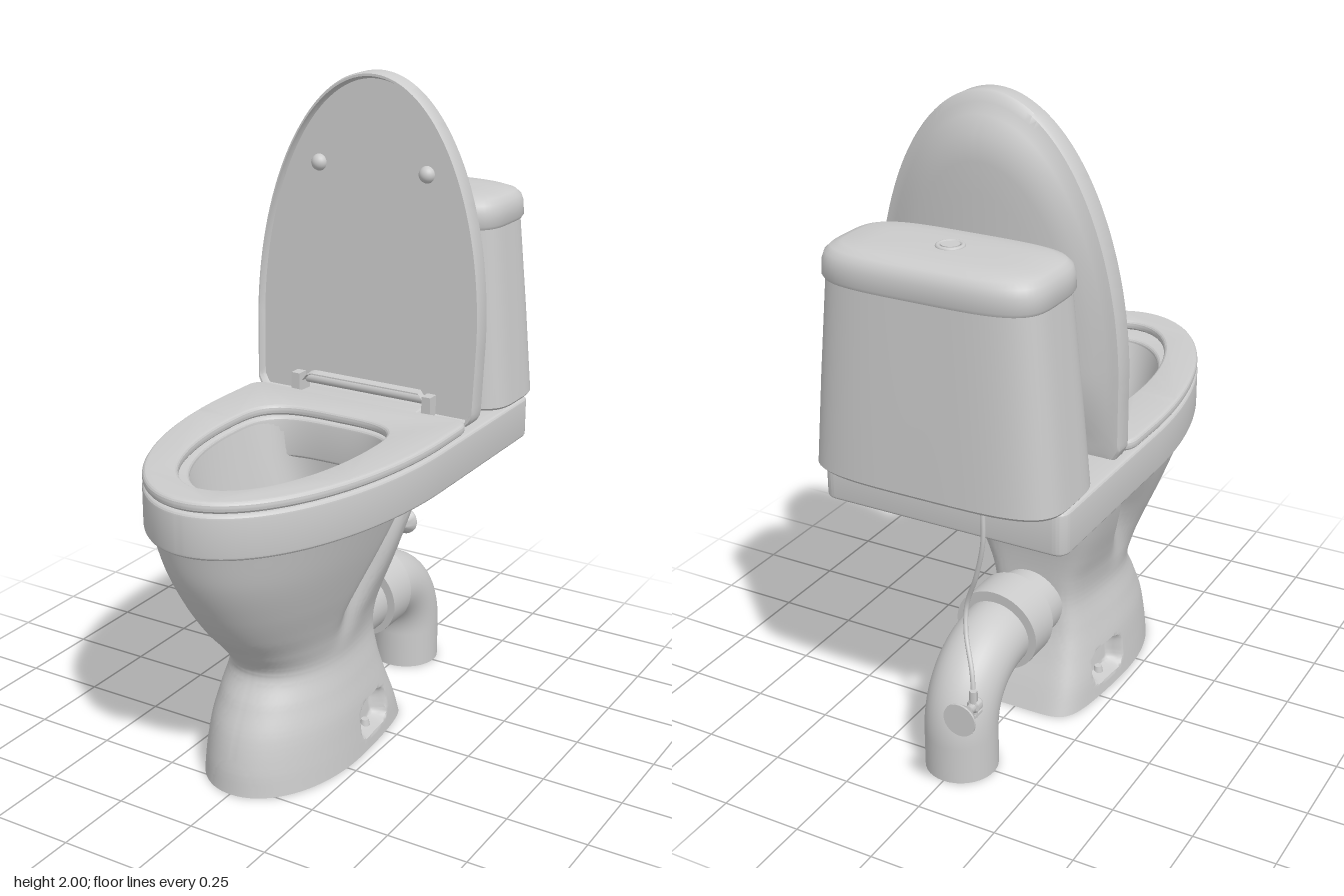
import * as THREE from 'three';
import { toCreasedNormals } from 'three/addons/utils/BufferGeometryUtils.js';

const V = (x, y, z) => new THREE.Vector3(x, y, z);
const step = THREE.MathUtils.smoothstep;

// Egg-shaped ring: half width w at z = zc, own reach and squareness at front and back
function egg(y, w, zc, front, back, nFront = 2, nBack = 2, count = 96) {
  return Array.from({ length: count }, (_, i) => {
    const t = (i / count) * Math.PI * 2, c = Math.cos(t), s = Math.sin(t);
    const n = s > 0 ? nFront : nBack, d = s > 0 ? front : back;
    const r = (Math.abs(c / w) ** n + Math.abs(s / d) ** n) ** (-1 / n);
    return V(r * c, y, zc + r * s);
  });
}

// Skin over a stack of rings with equal point counts
function loft(rings, capStart = false, capEnd = false, crease = 0.7) {
  const n = rings[0].length, pos = [], idx = [];
  rings.forEach(r => r.forEach(p => pos.push(p.x, p.y, p.z)));
  for (let j = 0; j < rings.length - 1; j++) for (let i = 0; i < n; i++) {
    const k = (i + 1) % n, a = j * n + i, b = j * n + k;
    idx.push(a, a + n, b, b, a + n, b + n);
  }
  const cap = (j, flip) => {
    const c = rings[j].reduce((s, p) => s.add(p), V(0, 0, 0)).divideScalar(n);
    const m = pos.length / 3;
    pos.push(c.x, c.y, c.z);
    for (let i = 0; i < n; i++) {
      const a = j * n + i, b = j * n + (i + 1) % n;
      idx.push(m, flip ? b : a, flip ? a : b);
    }
  };
  if (capStart) cap(0, false);
  if (capEnd) cap(rings.length - 1, true);
  const g = new THREE.BufferGeometry();
  g.setAttribute('position', new THREE.Float32BufferAttribute(pos, 3));
  g.setIndex(idx);
  return toCreasedNormals(g, crease);
}

// Flat slab with a hole, bevelled, lying between y0 and y1; outline uses -z as its second axis
function slab(shape, hole, y0, y1, bevel) {
  shape.holes.push(new THREE.Path(hole.map(p => new THREE.Vector2(p.x, -p.z))));
  const g = new THREE.ExtrudeGeometry(shape, {
    depth: y1 - y0 - 2 * bevel, bevelThickness: bevel, bevelSize: bevel,
    bevelOffset: -bevel, bevelSegments: 4, curveSegments: 64,
  });
  g.rotateX(-Math.PI / 2).translate(0, y0 + bevel, 0);
  return toCreasedNormals(g, 0.35);
}

// Pedestal: smooth profile, flared back column, side grooves and bolt recesses
function pedestalGeometry() {
  const ys = [0, 0.08, 0.17, 0.25, 0.34, 0.42, 0.5, 0.6, 0.72, 0.86];
  const front = [0.555, 0.545, 0.52, 0.48, 0.435, 0.49, 0.565, 0.635, 0.695, 0.73];
  const back = [-0.178, -0.147, -0.11, -0.085, -0.075, -0.078, -0.085, -0.1, -0.115, -0.128];
  const width = [0.222, 0.215, 0.205, 0.188, 0.17, 0.182, 0.208, 0.248, 0.293, 0.34];
  const backW = [0.2, 0.195, 0.18, 0.165, 0.15, 0.158, 0.185, 0.222, 0.262, 0.31];
  const ends = new THREE.CatmullRomCurve3(ys.map((y, i) => V(front[i], y, back[i])), false, 'catmullrom');
  const sides = new THREE.CatmullRomCurve3(ys.map((y, i) => V(width[i], y, backW[i])), false, 'catmullrom');
  const rings = [], levels = 110, zc = 0.19;
  for (let j = 0; j <= levels; j++) {
    const e = ends.getPoint(j / levels), s = sides.getPoint(j / levels), y = e.y;
    const ring = egg(y, s.x, zc, e.x - zc, zc - e.z, 2.1, 6, 220);
    const grooveZ = 0.2 - 0.17 * (Math.max(y - 0.35, 0) / 0.5) ** 1.6;
    const depth = 0.06 * step(y, 0.36, 0.62);
    ring.forEach(p => {
      const u = step((zc - p.z) / (zc - e.z), 0, 1);
      p.x *= 1 + (s.z / s.x - 1) * u;
      const groove = depth * Math.exp(-(((p.z - grooveZ) / 0.055) ** 2));
      const d = ((p.z - 0.068) / 0.085) ** 4 + ((y - 0.097) / 0.057) ** 4;
      const recess = 0.05 * (1 - step(d, 0.35, 1.2));
      if (Math.abs(p.x) > 0.1) p.x -= Math.sign(p.x) * (groove + recess);
    });
    rings.push(ring);
  }
  return loft(rings, false, false, 0.9);
}

// Raised lid: recessed inner panel, thin rounded lip, domed back, leaning slightly backwards
function lidGeometry() {
  const s = new THREE.Shape().moveTo(0.387, 1.235);
  s.absellipse(0, 1.235, 0.387, 0.765, 0, Math.PI, false, 0);
  [[-0.382, 1.01], [-0.365, 0.98], [-0.255, 0.98], [-0.2, 1.05], [0.2, 1.05], [0.255, 0.98],
    [0.365, 0.98], [0.382, 1.01], [0.387, 1.235]].forEach(([x, y]) => s.lineTo(x, y));
  const outline = s.getSpacedPoints(180).slice(0, -1);
  const profile = [[0.3, 0.024], [0.65, 0.024], [0.965, 0.024], [0.976, 0.016], [0.98, 0], [0.992, 0], [1, 0.008],
    [1, 0.057], [0.988, 0.066], [0.95, 0.068], [0.9, 0.068], [0.82, 0.068], [0.7, 0.068], [0.55, 0.068],
    [0.4, 0.068], [0.25, 0.068], [0.1, 0.068]];
  return loft(profile.map(([k, d]) => outline.map(p => {
    const x = p.x * k, y = 1.4 + (p.y - 1.4) * k;
    const dome = d < 0.06 ? 0 : 0.06 * (1 - (x / 0.387) ** 2) * step(y, 0.98, 1.25) * (1 - step(k, 0.78, 1));
    return V(x, y, -0.193 - 0.046 * (y - 0.98) - d - dome);
  })), true, true, 0.6);
}

export function createModel() {
  const model = new THREE.Group();
  const grey = new THREE.MeshStandardMaterial({ color: 0xcccccc });
  const greyDouble = new THREE.MeshStandardMaterial({ color: 0xcccccc, side: THREE.DoubleSide });
  const blue = new THREE.MeshStandardMaterial({ color: 0x88a4b8 });
  const add = (name, geometry, x = 0, y = 0, z = 0, material = grey) => {
    const m = new THREE.Mesh(geometry, material);
    m.name = name;
    m.position.set(x, y, z);
    model.add(m);
  };

  // Hollow pedestal, open underneath
  add('pedestal', pedestalGeometry(), 0, 0, 0, greyDouble);

  // Rim slab carrying the seat and the tank
  const rim = new THREE.Shape().moveTo(0.387, 0);
  rim.lineTo(0.387, 0.55).quadraticCurveTo(0.387, 0.595, 0.345, 0.595);
  rim.lineTo(-0.345, 0.595).quadraticCurveTo(-0.387, 0.595, -0.387, 0.55).lineTo(-0.387, 0);
  rim.absellipse(0, 0, 0.387, 0.767, Math.PI, Math.PI * 2, false, 0);
  add('rim', slab(rim, egg(0, 0.233, 0.17, 0.435, 0.205, 2, 3.5), 0.838, 0.972, 0.014));

  // Bowl interior and water
  add('bowl', loft([
    egg(0.965, 0.235, 0.17, 0.438, 0.208, 2, 3.5),
    egg(0.85, 0.205, 0.17, 0.39, 0.22, 2, 3.5),
    egg(0.72, 0.17, 0.14, 0.32, 0.2, 2, 3),
    egg(0.58, 0.132, 0.09, 0.22, 0.15, 2, 3),
    egg(0.5, 0.112, 0.05, 0.185, 0.12, 2, 3),
    egg(0.44, 0.08, 0.05, 0.13, 0.1, 2, 3),
  ], false, true, 1.2), 0, 0, 0, greyDouble);
  add('water', loft([egg(0.525, 0.118, 0.04, 0.215, 0.11, 2.3, 3),
    egg(0.53, 0.118, 0.04, 0.215, 0.11, 2.3, 3)], false, true), 0, 0, 0, blue);

  // Seat ring with a rear tongue between the hinges
  const seat = new THREE.Shape().moveTo(0.385, 0);
  seat.lineTo(0.383, 0.13).quadraticCurveTo(0.38, 0.185, 0.33, 0.185);
  seat.lineTo(0.21, 0.18).lineTo(0.205, 0.24).lineTo(-0.205, 0.24).lineTo(-0.21, 0.18).lineTo(-0.33, 0.185);
  seat.quadraticCurveTo(-0.38, 0.185, -0.383, 0.13).lineTo(-0.385, 0);
  seat.absellipse(0, 0, 0.385, 0.767, Math.PI, Math.PI * 2, false, 0);
  add('seat', slab(seat, egg(0, 0.237, 0.17, 0.495, 0.205, 2, 3.5), 0.974, 1.008, 0.014));

  // Lid, hinges and lid bumpers
  add('lid', lidGeometry());
  add('hingeBar', new THREE.CylinderGeometry(0.018, 0.018, 0.44, 24).rotateZ(Math.PI / 2), 0, 1.032, -0.235);
  for (const side of [-1, 1]) {
    add('hingePost', new THREE.BoxGeometry(0.03, 0.08, 0.06), side * 0.232, 1.015, -0.212);
    add('lidBumper', new THREE.SphereGeometry(0.026, 24, 16), side * 0.185, 1.715, -0.253);
    add('floorBolt', new THREE.CylinderGeometry(0.012, 0.016, 0.02, 16), side * 0.172, 0.055, 0.065);
  }

  // Tank, tank lid and flush button
  const box = (y, w, d) => egg(y, w, -0.52, d, d, 4, 4, 128);
  add('tank', loft([box(0.97, 0.376, 0.172), box(0.98, 0.384, 0.181), box(1.25, 0.358, 0.177),
    box(1.54, 0.328, 0.17)], true, true));
  add('tankLid', loft([box(1.535, 0.332, 0.172), box(1.545, 0.338, 0.176), box(1.585, 0.336, 0.175),
    box(1.607, 0.329, 0.169), box(1.622, 0.314, 0.156), box(1.631, 0.286, 0.134), box(1.636, 0.21, 0.09),
    box(1.638, 0.1, 0.04)], true, true));
  add('buttonRing', new THREE.TorusGeometry(0.034, 0.007, 12, 32).rotateX(Math.PI / 2), -0.01, 1.637, -0.52);
  add('button', new THREE.CylinderGeometry(0.026, 0.026, 0.02, 24), -0.01, 1.633, -0.52);

  // Waste pipe, open at the floor, with its collar
  const path = new THREE.CurvePath();
  path.add(new THREE.LineCurve3(V(0, 0.332, -0.04), V(0, 0.332, -0.28)));
  path.add(new THREE.CubicBezierCurve3(V(0, 0.332, -0.28), V(0, 0.332, -0.41), V(0, 0.25, -0.503), V(0, 0.12, -0.503)));
  path.add(new THREE.LineCurve3(V(0, 0.12, -0.503), V(0, 0, -0.503)));
  add('wastePipe', new THREE.TubeGeometry(path, 60, 0.11, 36), 0, 0, 0, greyDouble);
  const collar = new THREE.CylinderGeometry(0.136, 0.136, 0.108, 40).rotateX(-Math.PI / 2);
  const cp = collar.attributes.position;
  for (let i = 0; i < cp.count; i++) cp.setZ(i, cp.getZ(i) * (1 + 1.5 * cp.getY(i)));
  add('pipeCollar', toCreasedNormals(collar, 0.6), 0, 0.34, -0.234);

  // Supply hose and wall valve
  const hose = new THREE.CatmullRomCurve3([V(-0.155, 0.98, -0.625), V(-0.155, 0.85, -0.625), V(-0.125, 0.73, -0.612),
    V(-0.08, 0.61, -0.592), V(-0.09, 0.54, -0.615), V(-0.14, 0.45, -0.67), V(-0.155, 0.36, -0.69)]);
  add('hose', new THREE.TubeGeometry(hose, 60, 0.007, 10));
  const valve = [[0, 0], [0.014, 0], [0.02, 0.008], [0.02, 0.03], [0.013, 0.034], [0.013, 0.05], [0.02, 0.062],
    [0.035, 0.08], [0.05, 0.1], [0.05, 0.106], [0, 0.106]].map(([r, h]) => new THREE.Vector2(r, h));
  add('wallValve', toCreasedNormals(new THREE.LatheGeometry(valve, 28).rotateX(-Math.PI / 2), 0.6), -0.155, 0.36, -0.664);
  add('valveStem', new THREE.CylinderGeometry(0.008, 0.008, 0.04, 12), -0.155, 0.34, -0.682);
  add('valveHandle', new THREE.BoxGeometry(0.014, 0.008, 0.04), -0.155, 0.325, -0.675);
  add('hoseNut', new THREE.CylinderGeometry(0.012, 0.012, 0.04, 6), -0.155, 0.39, -0.69);
  return model;
}
